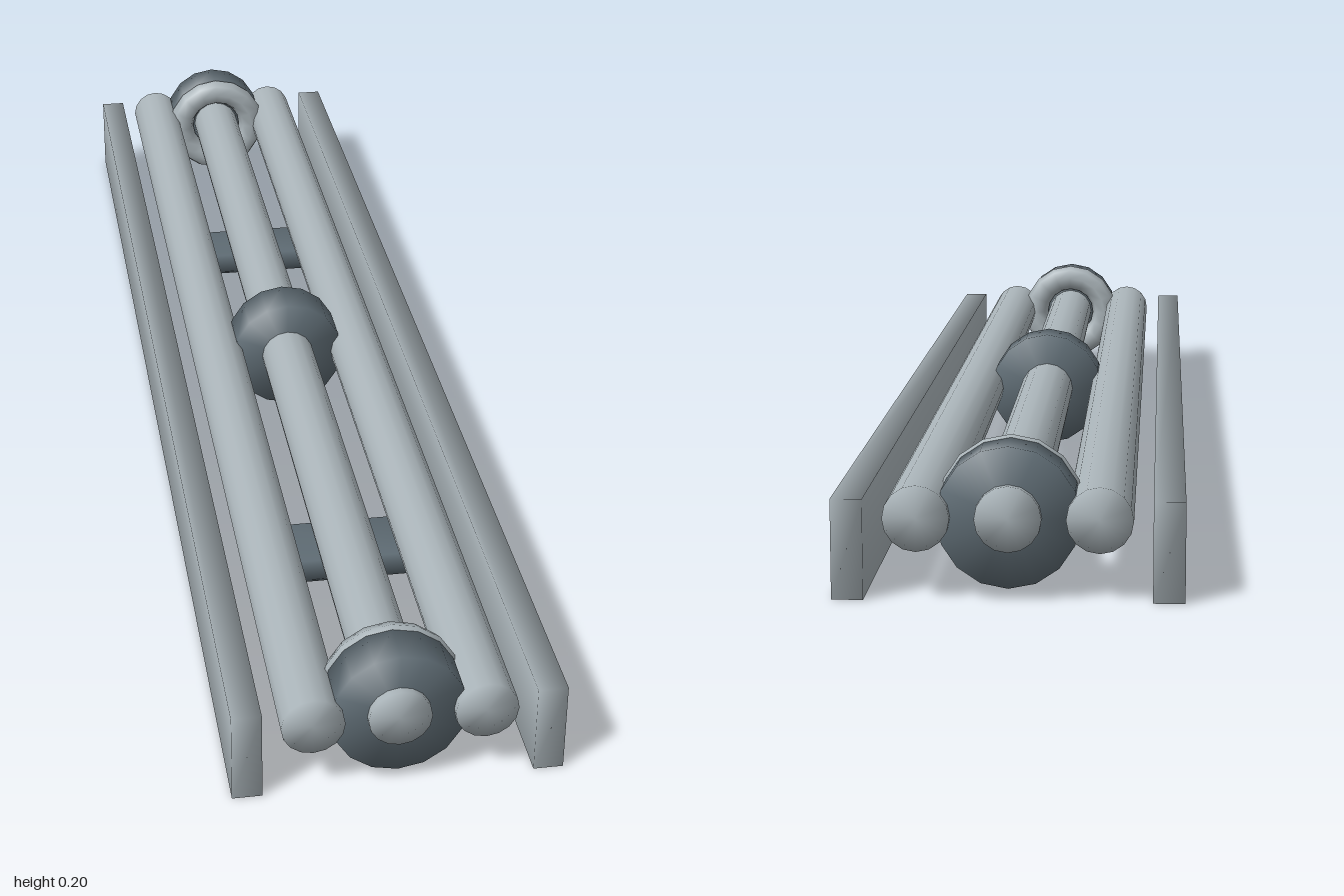
import * as THREE from 'three';
import { mergeVertices } from 'three/addons/utils/BufferGeometryUtils.js';

const AXIS_Y = 0.104;

// Shares corner vertices so normals blend softly across every edge.
function soften(geometry) {
  geometry.deleteAttribute('normal');
  geometry.deleteAttribute('uv');
  const merged = mergeVertices(geometry, 1e-5);
  merged.computeVertexNormals();
  return merged;
}

// Cylinder lying along z.
function rodGeometry(radius, length) {
  return soften(new THREE.CylinderGeometry(radius, radius, length, 16).rotateX(Math.PI / 2));
}

// Bar with chamfered ends, running across x.
function crossbarGeometry(width, height, depth, chamfer) {
  const w = width / 2, h = height / 2, c = chamfer;
  const shape = new THREE.Shape([
    [-w + c, -h], [w - c, -h], [w, -h + c], [w, h - c],
    [w - c, h], [-w + c, h], [-w, h - c], [-w, -h + c],
  ].map(([x, y]) => new THREE.Vector2(x, y)));
  const geometry = new THREE.ExtrudeGeometry(shape, { depth, bevelEnabled: false });
  return soften(geometry.translate(0, 0, -depth / 2));
}

export function createModel() {
  const lightSteel = new THREE.MeshStandardMaterial({ color: 0xaab4b9 });
  lightSteel.name = 'lightSteel';
  const darkSteel = new THREE.MeshStandardMaterial({ color: 0x5d6a72 });
  darkSteel.name = 'darkSteel';

  const model = new THREE.Group();
  model.name = 'railAssembly';
  function add(name, geometry, material, x, y, z) {
    const mesh = new THREE.Mesh(geometry, material);
    mesh.name = name;
    mesh.position.set(x, y, z);
    model.add(mesh);
  }

  // Central shaft and the two guide rods
  const rod = rodGeometry(0.042, 2);
  add('centreShaft', rod, lightSteel, 0, AXIS_Y, 0);
  add('leftGuideRod', rod, lightSteel, 0.114, AXIS_Y, 0);
  add('rightGuideRod', rod, lightSteel, -0.114, AXIS_Y, 0);

  // Outer side rails
  const rail = soften(new THREE.BoxGeometry(0.04, 0.128, 2));
  add('leftRail', rail, lightSteel, 0.2, 0.064, 0);
  add('rightRail', rail, lightSteel, -0.2, 0.064, 0);

  // Collars on the shaft, with a ring inside each end collar
  add('middleCollar', rodGeometry(0.09, 0.07), darkSteel, 0, AXIS_Y, 0);
  const endCollar = rodGeometry(0.09, 0.06);
  const ring = new THREE.TorusGeometry(0.0695, 0.0235, 8, 16);
  const crossbar = crossbarGeometry(0.22, 0.036, 0.1, 0.01);
  for (const [side, s] of [['front', 1], ['back', -1]]) {
    add(side + 'Collar', endCollar, darkSteel, 0, AXIS_Y, s * 0.96);
    add(side + 'Ring', ring, lightSteel, 0, AXIS_Y, s * 0.923);
    // Crossbars below the rods
    add(side + 'Crossbar', crossbar, darkSteel, 0, 0.029, s * 0.5);
  }
  return model;
}
